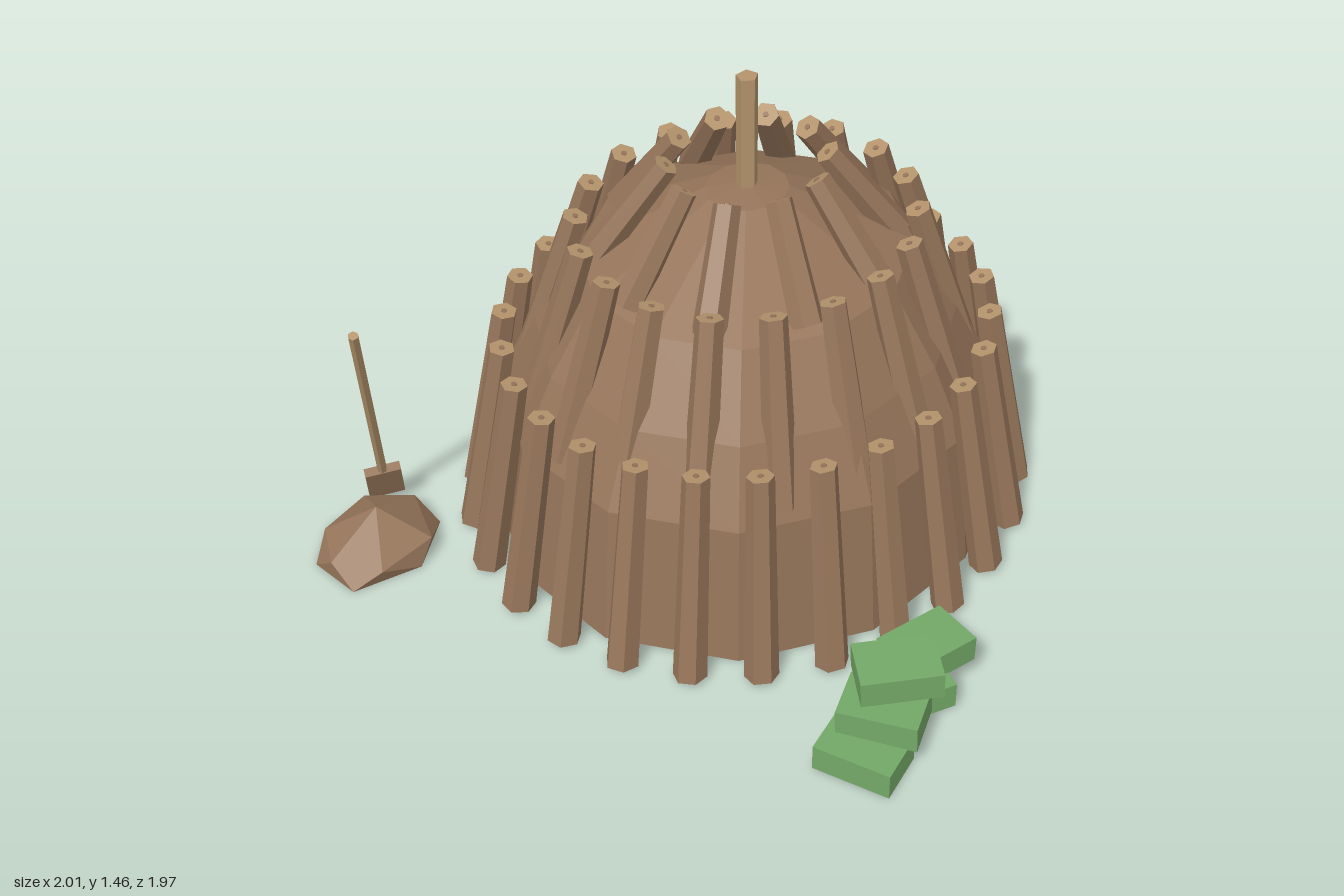
import * as THREE from 'three';
import { ConvexGeometry } from 'three/addons/geometries/ConvexGeometry.js';

const paint = (name, color) => {
  const m = new THREE.MeshStandardMaterial({ color });
  m.name = name;
  return m;
};

// Gives every face its own normal for a faceted look
function facet(geometry) {
  const g = geometry.index ? geometry.toNonIndexed() : geometry;
  g.computeVertexNormals();
  return g;
}

function add(parent, name, geometry, material, x = 0, y = 0, z = 0) {
  const mesh = new THREE.Mesh(facet(geometry), material);
  mesh.name = name;
  mesh.position.set(x, y, z);
  parent.add(mesh);
  return mesh;
}

export function createModel() {
  const bark = paint('bark brown', 0x96755a);
  const wood = paint('cut wood', 0xb4946c);
  const green = paint('brick green', 0x74a867);

  const model = new THREE.Group();
  model.name = 'logHut';

  // Hut is slightly longer from front to back
  const hut = new THREE.Group();
  hut.name = 'hut';
  hut.position.set(-0.01, 0, -0.045);
  hut.scale.z = 1.085;
  model.add(hut);

  // Earth dome
  const profile = [[0, 0], [0.76, 0], [0.72, 0.45], [0.62, 0.67], [0.48, 0.89], [0.12, 1.09], [0, 1.105]]
    .map(([r, y]) => new THREE.Vector2(r, y));
  add(hut, 'dome', new THREE.LatheGeometry(profile, 12), bark);

  // Centre pole
  add(hut, 'centrePole', new THREE.CylinderGeometry(0.032, 0.032, 0.5, 5), wood, 0, 1.205, 0);

  // Three rings of leaning logs: [name, count, start angle, bottom r, bottom y, top r, top y]
  const rings = [
    ['outerLogs', 26, 0, 0.825, 0.01, 0.71, 0.645],
    ['middleLogs', 18, Math.PI / 18, 0.65, 0.475, 0.484, 1.0],
    ['innerLogs', 10, 0, 0.43, 0.9, 0.225, 1.185],
  ];
  for (const [name, count, start, r0, y0, r1, y1] of rings) {
    const ring = new THREE.Group();
    ring.name = name;
    hut.add(ring);
    const length = Math.hypot(r1 - r0, y1 - y0);
    for (let i = 0; i < count; i++) {
      const spoke = new THREE.Group();
      spoke.name = 'log';
      spoke.rotation.y = start + (i / count) * Math.PI * 2;
      ring.add(spoke);
      const log = add(spoke, 'trunk', new THREE.CylinderGeometry(0.039, 0.049, length, 6),
        [bark, wood, bark], (r0 + r1) / 2, (y0 + y1) / 2, 0);
      log.rotation.z = Math.atan2(r0 - r1, y1 - y0);
      // Heartwood mark on the cut end
      add(log, 'heartwood', new THREE.CylinderGeometry(0.009, 0.009, 0.004, 6), bark, 0, length / 2 + 0.001, 0);
    }
  }

  // Pile of earth
  const pile = [
    [-0.91, 0, 0.62], [-0.72, 0, 0.61], [-0.65, 0, 0.8], [-0.76, 0, 0.99], [-0.93, 0, 0.95], [-1, 0, 0.8],
    [-0.95, 0.06, 0.68], [-0.81, 0.07, 0.61], [-0.65, 0.07, 0.74], [-0.7, 0.05, 0.92],
    [-0.85, 0.06, 0.97], [-0.96, 0.06, 0.86], [-0.81, 0.16, 0.79],
  ].map((p) => new THREE.Vector3(...p));
  add(model, 'earthPile', new ConvexGeometry(pile), bark);

  // Spade leaning over the pile
  const spade = new THREE.Group();
  spade.name = 'spade';
  spade.position.set(-0.91, 0.1, 0.625);
  spade.rotation.set(0.39, 0.62, 0, 'YXZ');
  model.add(spade);
  add(spade, 'spadeHandle', new THREE.CylinderGeometry(0.015, 0.015, 0.87, 6), wood, 0, 0.435, 0);
  add(spade, 'spadeBlade', new THREE.BoxGeometry(0.11, 0.14, 0.03), bark).rotation.y = 0.2;

  // Stacked bricks: [x, y, z, turn, tilt]
  const bricks = [
    [0.855, 0.042, 0.835, 0.03, 0],
    [0.85, 0.042, 0.565, 0.95, 0],
    [0.865, 0.12, 0.74, 0.2, 0.03],
    [0.86, 0.12, 0.47, 1.15, -0.02],
    [0.865, 0.212, 0.665, 0.65, 0.04],
  ];
  for (const [x, y, z, turn, tilt] of bricks) {
    const brick = add(model, 'brick', new THREE.BoxGeometry(0.23, 0.082, 0.16), green, x, y, z);
    brick.rotation.set(0, turn, tilt, 'YXZ');
  }

  return model;
}
